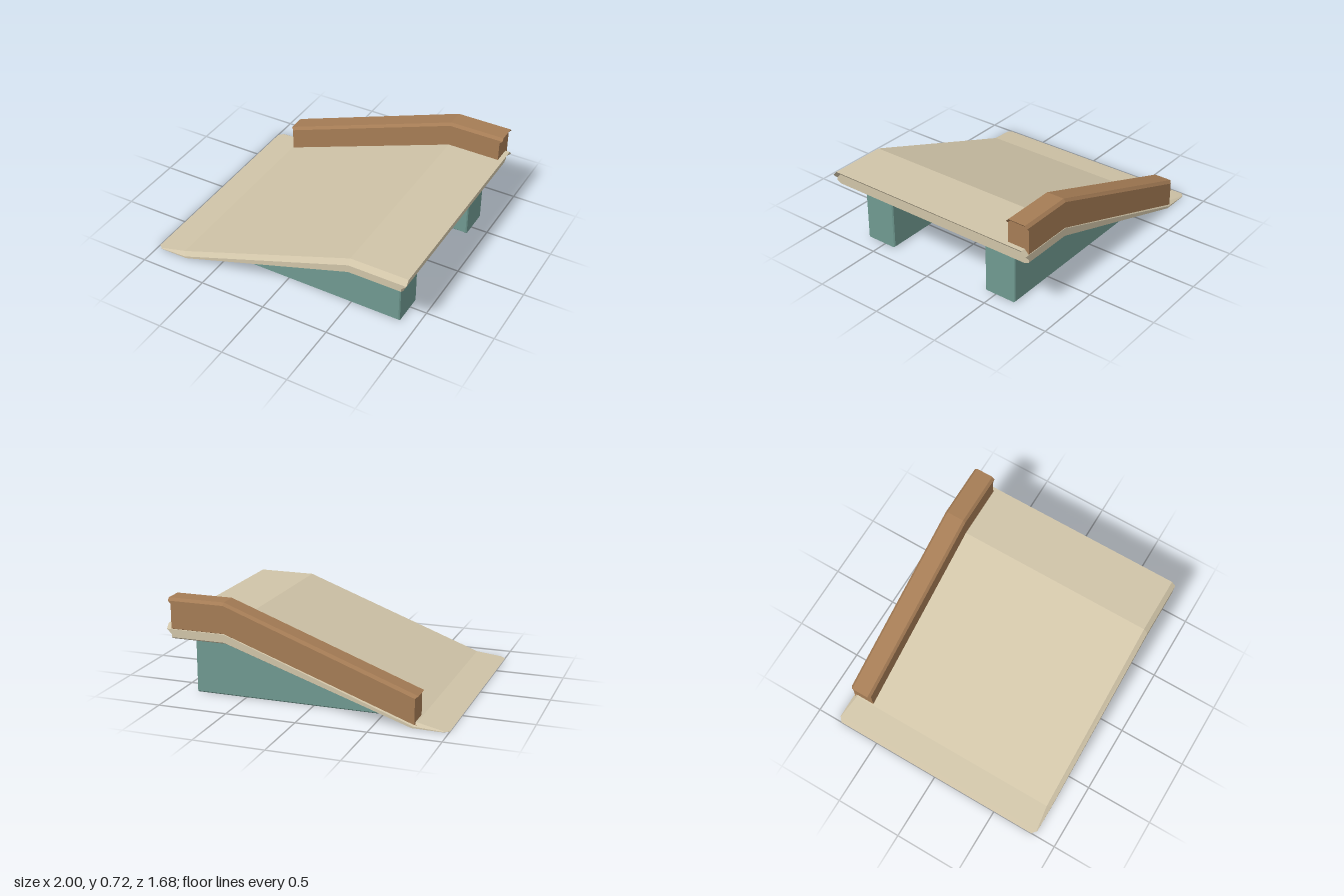
import * as THREE from 'three';

const paint = (color) => new THREE.MeshStandardMaterial({ color, flatShading: true });

// Skin a row of half cross-sections, each a list of [x, y, halfWidth] from top to bottom,
// mirrored about z = zc and closed at both ends.
function loft(name, rows, zc, material) {
  const rings = rows.map((half) => [
    ...half.map(([x, y, w]) => [x, y, zc + w]),
    ...half.slice().reverse().map(([x, y, w]) => [x, y, zc - w]),
  ]);
  const pos = [];
  const quad = (a, b, c, d) => pos.push(...a, ...b, ...c, ...a, ...c, ...d);
  const n = rings[0].length;
  for (let s = 0; s < rings.length - 1; s++) {
    for (let i = 0; i < n; i++) {
      const j = (i + 1) % n;
      quad(rings[s][i], rings[s][j], rings[s + 1][j], rings[s + 1][i]);
    }
  }
  const first = rings[0], last = rings[rings.length - 1];
  for (let i = 0; i < n / 2 - 1; i++) {
    const k = n - 1 - i;
    quad(last[i], last[i + 1], last[k - 1], last[k]);
    quad(first[k], first[k - 1], first[i + 1], first[i]);
  }
  const geometry = new THREE.BufferGeometry();
  geometry.setAttribute('position', new THREE.Float32BufferAttribute(pos, 3));
  geometry.computeVertexNormals();
  const mesh = new THREE.Mesh(geometry, material);
  mesh.name = name;
  return mesh;
}

export function createModel() {
  const group = new THREE.Group();
  group.name = 'ramp';

  // Deck: thin toe, slope, level landing and an undercut lip at the high end
  const deckRows = [
    Array(5).fill([-1, 0, 0.81]),
    [[-0.965, 0.006, 0.835], [-0.965, 0.003, 0.84], [-0.965, 0.002, 0.84], [-0.965, 0, 0.84], [-0.965, 0, 0.835]],
    [[-0.78, 0.035, 0.81], [-0.76, 0.014, 0.84], [-0.755, 0.008, 0.84], [-0.75, 0.002, 0.84], [-0.75, 0, 0.835]],
    [[0.575, 0.535, 0.808], [0.575, 0.5, 0.84], [0.575, 0.465, 0.84], [0.575, 0.443, 0.84], [0.575, 0.427, 0.81]],
    [[1, 0.535, 0.808], [1, 0.5, 0.84], [0.965, 0.465, 0.84], [0.965, 0.443, 0.84], [0.965, 0.427, 0.81]],
    [[0.965, 0.5, 0.808], [0.965, 0.465, 0.84], [0.965, 0.465, 0.84], [0.965, 0.443, 0.84], [0.965, 0.427, 0.81]],
  ];
  group.add(loft('deck', deckRows, 0, paint(0xd0c4a8)));

  // Side rail: follows the deck along its back edge
  const wi = 0.065, wo = 0.083;
  const railRows = [
    [[-0.79, 0.22, wi], [-0.77, 0.205, wo], [-0.77, 0.18, wo], [-0.77, 0.025, wo], [-0.79, 0.02, wi]],
    [[0.575, 0.72, wi], [0.575, 0.7, wo], [0.575, 0.68, wo], [0.575, 0.505, wo], [0.575, 0.49, wi]],
    [[0.985, 0.72, wi], [0.985, 0.7, wo], [0.965, 0.68, wo], [0.965, 0.505, wo], [0.965, 0.49, wi]],
    [[0.965, 0.7, wi], [0.965, 0.68, wo], [0.965, 0.68, wo], [0.965, 0.505, wo], [0.965, 0.49, wi]],
  ];
  group.add(loft('sideRail', railRows, -0.757, paint(0xa57c55)));

  // Supports: two wedge blocks with a small bevel
  const bevel = 0.008;
  const wedge = new THREE.Shape([
    [-0.572, 0.008], [0.867, 0.008], [0.867, 0.425], [0.575, 0.425], [-0.572, 0.053],
  ].map(([x, y]) => new THREE.Vector2(x, y)));
  const supportGeometry = new THREE.ExtrudeGeometry(wedge, {
    depth: 0.25 - 2 * bevel, bevelEnabled: true, bevelSize: bevel, bevelThickness: bevel, bevelSegments: 1,
  });
  supportGeometry.translate(0, 0, -0.125 + bevel);
  const teal = paint(0x6f9990);
  for (const [name, z] of [['frontSupport', 0.535], ['backSupport', -0.535]]) {
    const support = new THREE.Mesh(supportGeometry, teal);
    support.name = name;
    support.position.z = z;
    group.add(support);
  }
  return group;
}
